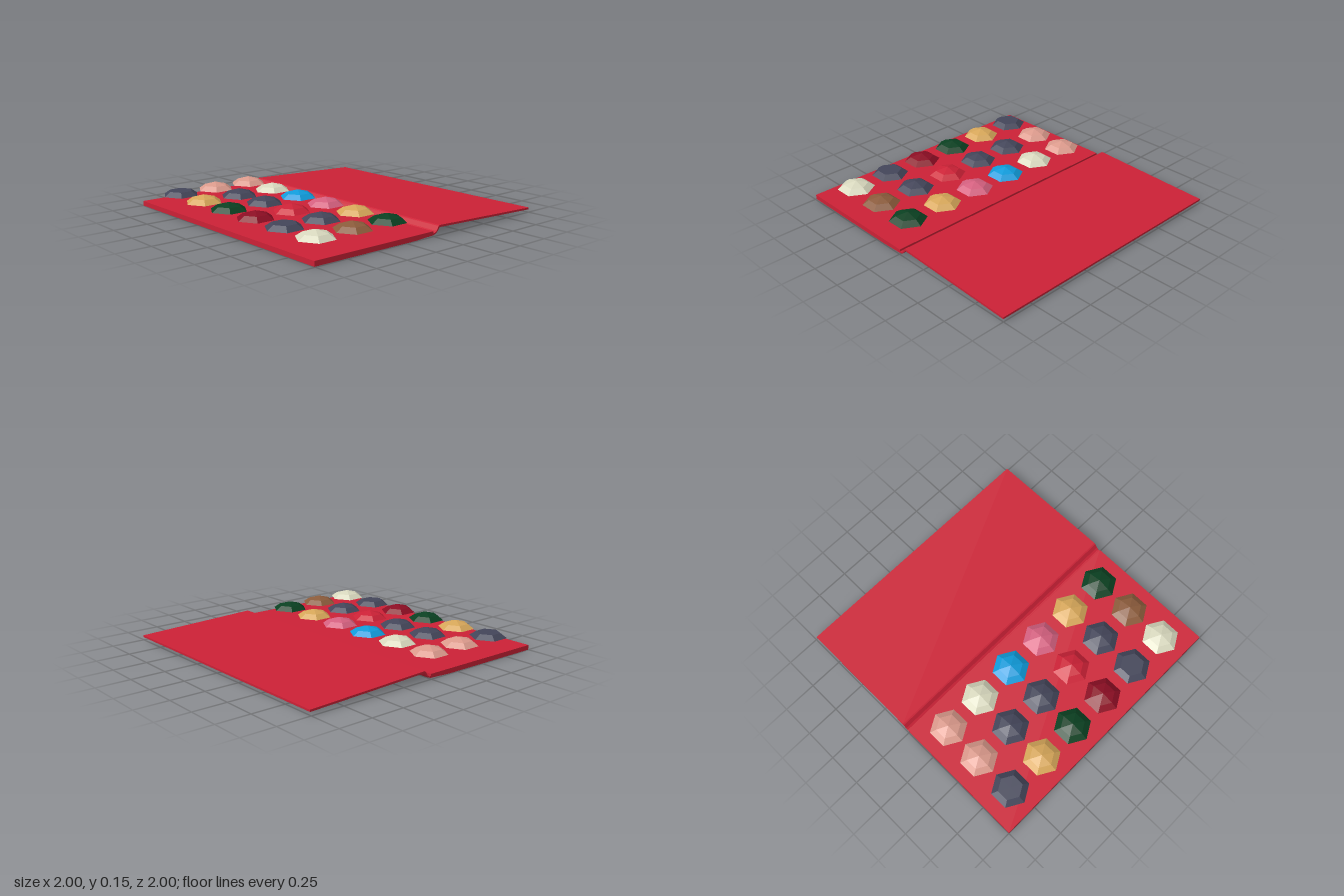
import * as THREE from 'three';
import { mergeGeometries } from 'three/addons/utils/BufferGeometryUtils.js';

const palette = {
  red: 0xcc2136, salmon: 0xdb9a8c, cream: 0xd8d8be, blue: 0x0f9bda, pink: 0xd4607f,
  gold: 0xd6a659, green: 0x0a4021, slate: 0x434559, brown: 0x8b5b3b, crimson: 0x8c0d23,
};

// Each row runs from -x to +x; rows run from the hinge to the front edge
const rows = [
  ['salmon', 'cream', 'blue', 'pink', 'gold', 'green'],
  ['salmon', 'slate', 'slate', 'red', 'slate', 'brown'],
  ['slate*', 'gold', 'green', 'crimson', 'slate*', 'cream'], // * = flat-topped
];

// Six-sided gem with bevelled girdle, and a low pyramid on top unless flat
function gemGeometry(flat) {
  const parts = [new THREE.CylinderGeometry(0.088, 0.136, 0.033, 6).translate(0, 0.0165, 0)];
  if (!flat) {
    parts.push(new THREE.ConeGeometry(0.088, 0.024, 6, 1, true).translate(0, 0.045, 0));
  }
  const geometry = mergeGeometries(parts).toNonIndexed();
  geometry.computeVertexNormals();
  return geometry;
}

// Extrudes a [z, y] outline across the width, with the slight skew of the case
function acrossWidth(outline) {
  const shape = new THREE.Shape(outline.map(([z, y]) => new THREE.Vector2(z, y)));
  const geometry = new THREE.ExtrudeGeometry(shape, { depth: 1.99, bevelEnabled: false });
  geometry.rotateY(-Math.PI / 2).translate(0.996, 0, 0);
  const p = geometry.attributes.position;
  for (let i = 0; i < p.count; i++) p.setX(i, p.getX(i) - 0.005 * p.getZ(i));
  geometry.computeVertexNormals();
  return geometry;
}

export function createModel() {
  const model = new THREE.Group();
  model.name = 'gemPalette';

  const materials = {};
  for (const [name, color] of Object.entries(palette)) {
    materials[name] = new THREE.MeshStandardMaterial({ color });
    materials[name].name = name;
  }

  const add = (name, geometry, material) => {
    const mesh = new THREE.Mesh(geometry, materials[material]);
    mesh.name = name;
    model.add(mesh);
    return mesh;
  };

  // Flat tray whose underside lifts a little near the hinge
  add('tray', acrossWidth([
    [1, 0], [1, 0.035], [0, 0.035], [0, 0.008], [0.17, 0],
  ]), 'red');

  // Thin strip bending up from the tray
  add('hinge', acrossWidth([
    [0, 0.008], [0, 0.02], [-0.015, 0.022], [-0.03, 0.032], [-0.05, 0.062], [-0.06, 0.067],
    [-0.06, 0.053], [-0.042, 0.03], [-0.025, 0.015],
  ]), 'red');

  // Opened lid sloping down to the back
  add('lid', acrossWidth([
    [-0.06, 0.053], [-0.06, 0.067], [-1, 0.035], [-1, 0.021],
  ]), 'red');

  // Gems hovering just above the tray
  const pointedGem = gemGeometry(false);
  const flatGem = gemGeometry(true);
  rows.forEach((row, r) => row.forEach((entry, c) => {
    const flat = entry.endsWith('*');
    const gem = add(`gemRow${r + 1}Column${c + 1}`, flat ? flatGem : pointedGem, entry.replace('*', ''));
    gem.position.set(-0.787 + 0.3105 * c, 0.09, 0.194 + 0.304 * r);
  }));

  return model;
}
